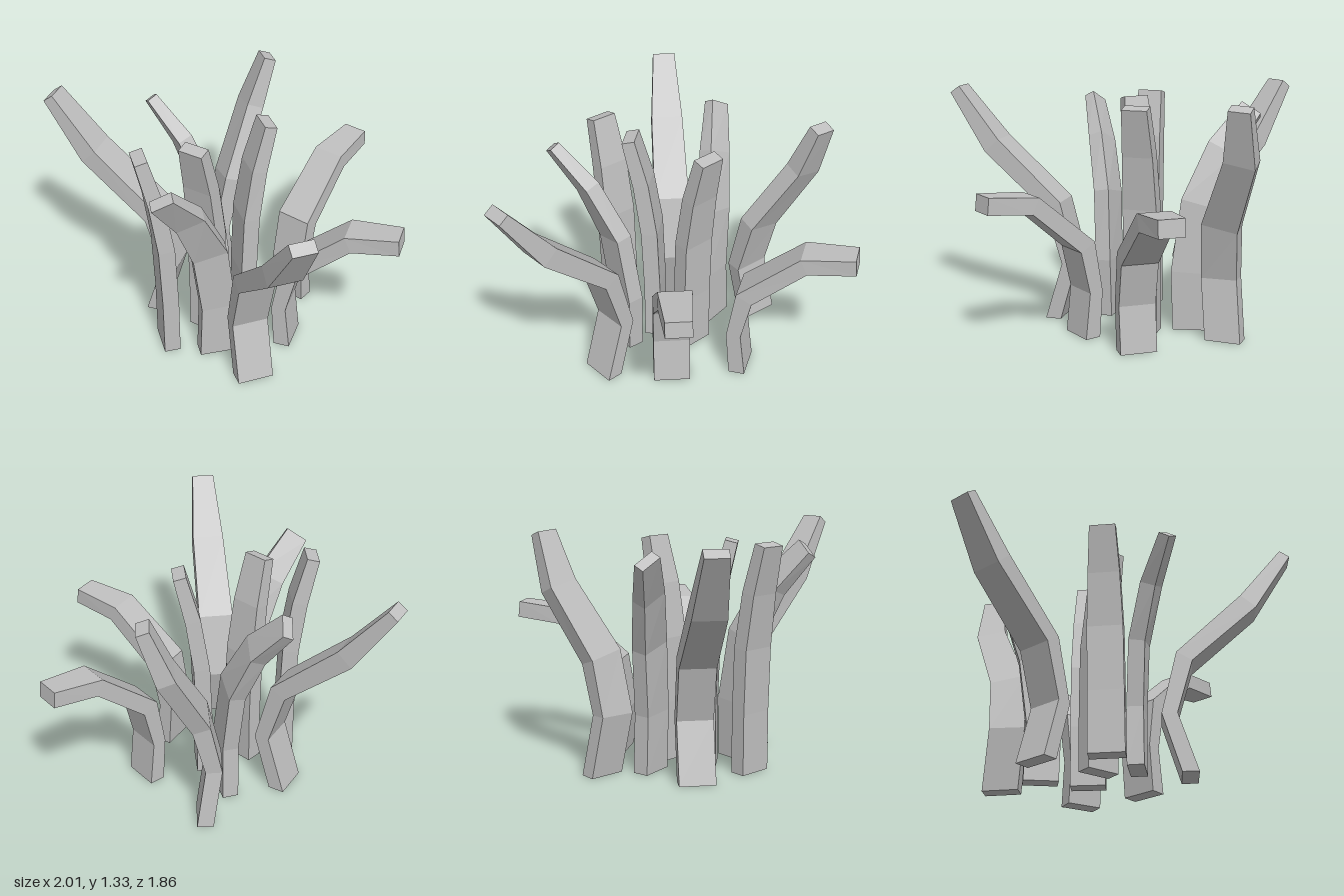
import * as THREE from 'three';

const grey = new THREE.MeshStandardMaterial({ color: 0xbfbfbf });
grey.name = 'stoneGrey';

// Stalk profiles: rings of [sideways lean, outward lean, height, width, thickness]
const longBend = [
  [0, 0.145, 0, 0.2, 0.09], [0, 0.045, 0.33, 0.2, 0.085], [0, 0.135, 0.66, 0.2, 0.1],
  [0, 0.5, 0.99, 0.18, 0.11], [0, 0.725, 1.3, 0.125, 0.065],
];
const lowBend = [
  [0, 0.065, 0, 0.2, 0.09], [0, 0.04, 0.26, 0.2, 0.08], [0, 0.09, 0.52, 0.2, 0.1],
  [0, 0.395, 0.785, 0.175, 0.095], [0, 0.66, 0.815, 0.135, 0.09],
];
const upright = [
  [0, 0, 0, 0.19, 0.09], [0, 0, 0.34, 0.19, 0.09], [0, 0.012, 0.7, 0.19, 0.09],
  [0, 0.055, 1.0, 0.17, 0.085], [0, 0.12, 1.26, 0.14, 0.07],
];
const sideLean = [
  [0, 0, 0, 0.19, 0.09], [-0.011, 0.002, 0.33, 0.19, 0.09], [0.039, 0.027, 0.71, 0.19, 0.09],
  [0.159, 0.112, 1.0, 0.16, 0.085], [0.315, 0.22, 1.21, 0.125, 0.06],
];
const twistedLean = [
  [-0.04, 0.05, 0, 0.2, 0.09], [0, 0, 0.34, 0.2, 0.09], [-0.02, 0.07, 0.65, 0.2, 0.1],
  [-0.17, 0.24, 1.03, 0.17, 0.1], [-0.19, 0.34, 1.31, 0.115, 0.07],
];

// Sweeps a rectangular section through the rings, each square to the path
function stalkGeometry(rings) {
  const centers = rings.map(([s, o, y]) => new THREE.Vector3(o, y, s));
  const pos = [];
  const last = rings.length - 1;
  rings.forEach(([, , , width, thick], i) => {
    const t = new THREE.Vector3();
    if (i === 0) t.set(0, 1, 0);
    else {
      t.subVectors(centers[i], centers[i - 1]).normalize();
      if (i < last) t.add(centers[i + 1].clone().sub(centers[i]).normalize()).normalize();
    }
    const w = new THREE.Vector3(0, 0, 1);
    w.addScaledVector(t, -t.z).normalize();
    const n = new THREE.Vector3().crossVectors(t, w);
    for (const [a, b] of [[1, 1], [-1, 1], [-1, -1], [1, -1]]) {
      const p = centers[i].clone().addScaledVector(w, a * width / 2).addScaledVector(n, b * thick / 2);
      pos.push(p.x, p.y, p.z);
    }
  });
  const index = [0, 2, 1, 0, 3, 2];
  for (let i = 0; i < last; i++) {
    for (let k = 0; k < 4; k++) {
      const a = i * 4 + k, b = i * 4 + (k + 1) % 4;
      index.push(a, b, b + 4, a, b + 4, a + 4);
    }
  }
  const e = last * 4;
  index.push(e, e + 1, e + 2, e, e + 2, e + 3);
  const g = new THREE.BufferGeometry();
  g.setAttribute('position', new THREE.Float32BufferAttribute(pos, 3));
  g.setIndex(index);
  const flat = g.toNonIndexed();
  flat.computeVertexNormals();
  return flat;
}

export function createModel() {
  const group = new THREE.Group();
  group.name = 'stalkCluster';
  // name, profile, position x z, outward direction x z
  const stalks = [
    ['sideStalkRight', longBend, -0.25, 0.045, -1, 0.075],
    ['frontLongStalk', longBend, 0.255, 0.33, 0.67, 0.74],
    ['sideLowStalk', lowBend, 0.34, 0.06, 1, -0.065],
    ['backLowStalk', lowBend, 0.28, -0.27, 0.27, -0.96],
    ['backTwistedStalk', twistedLean, -0.21, -0.385, 0.8, -0.6],
    ['backLeaningStalk', sideLean, -0.15, -0.18, -0.62, 0.78],
    ['frontLeaningStalk', sideLean, 0.075, 0.317, 0.6, 0.8],
    ['frontUprightStalk', upright, -0.195, 0.363, -0.78, 0.62],
    ['middleUprightStalk', upright, -0.042, 0.15, -0.16, 0.985],
    ['innerUprightStalk', upright, 0.09, -0.06, 0.75, -0.66],
  ];
  for (const [name, rings, x, z, dx, dz] of stalks) {
    const mesh = new THREE.Mesh(stalkGeometry(rings), grey);
    mesh.name = name;
    mesh.position.set(x, 0, z);
    mesh.rotation.y = -Math.atan2(dz, dx);
    group.add(mesh);
  }
  return group;
}
